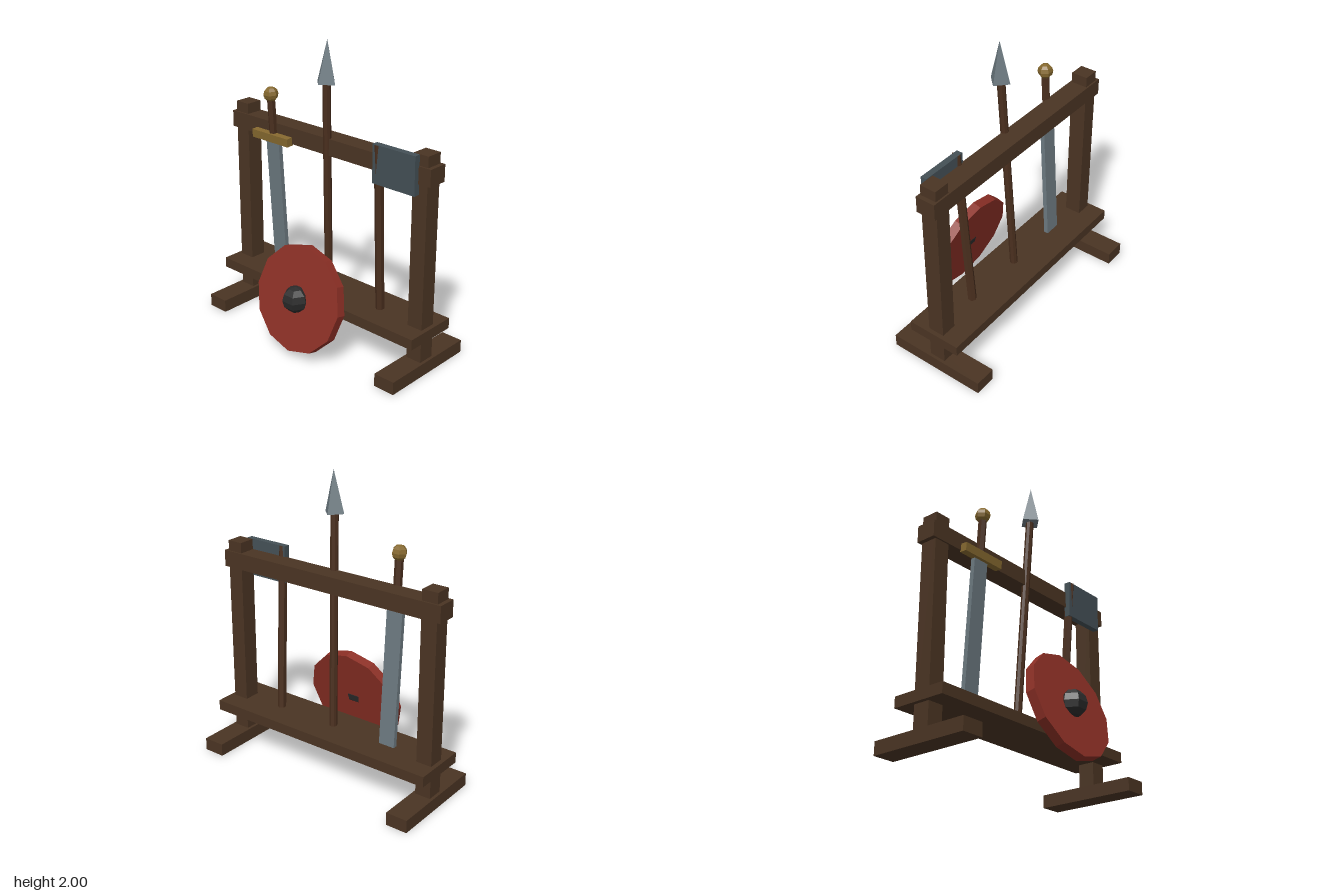
import * as THREE from 'three';

const material = (name, color) => {
  const m = new THREE.MeshStandardMaterial({ color, flatShading: true });
  m.name = name;
  return m;
};

export function createModel() {
  const timber = material('timber', 0x4a3423);
  const shaftWood = material('shaft wood', 0x4a2f1e);
  const steel = material('steel', 0x6c7980);
  const darkSteel = material('dark steel', 0x445056);
  const brass = material('brass', 0x86692f);
  const red = material('red paint', 0x8b2f25);
  const iron = material('black iron', 0x2b2b2b);

  const model = new THREE.Group();
  model.name = 'weaponRack';

  const add = (parent, name, geometry, mat, x, y, z) => {
    const mesh = new THREE.Mesh(geometry, mat);
    mesh.name = name;
    mesh.position.set(x, y, z);
    parent.add(mesh);
    return mesh;
  };
  const box = (parent, name, mat, w, h, d, x, y, z) =>
    add(parent, name, new THREE.BoxGeometry(w, h, d), mat, x, y, z);
  const group = (name, x, y, z) => {
    const g = new THREE.Group();
    g.name = name;
    g.position.set(x, y, z);
    model.add(g);
    return g;
  };
  // Round pole between two points
  const pole = (parent, name, mat, radius, sides, from, to) => {
    const a = new THREE.Vector3(...from), b = new THREE.Vector3(...to);
    const dir = b.clone().sub(a);
    const mid = a.clone().add(b).multiplyScalar(0.5);
    const mesh = add(parent, name, new THREE.CylinderGeometry(radius, radius, dir.length(), sides), mat, mid.x, mid.y, mid.z);
    mesh.quaternion.setFromUnitVectors(new THREE.Vector3(0, 1, 0), dir.normalize());
    return mesh;
  };

  // Rack frame
  const rackZ = -0.061, shelfTop = 0.313;
  const frame = group('rackFrame', 0, 0, rackZ);
  for (const [side, s] of [['left', 1], ['right', -1]]) {
    box(frame, side + 'Foot', timber, 0.148, 0.086, 0.684, s * 0.753, 0.043, 0);
    box(frame, side + 'Post', timber, 0.108, 1.42, 0.113, s * 0.753, 0.73, 0);
  }
  box(frame, 'shelf', timber, 1.67, 0.07, 0.373, 0, 0.278, 0);
  box(frame, 'topRail', timber, 1.67, 0.11, 0.135, 0, 1.315, 0);

  // Sword, point down and leaning on the rail
  const sword = group('sword', -0.44, shelfTop, -0.052);
  sword.rotation.x = 0.065;
  box(sword, 'blade', steel, 0.113, 0.95, 0.03, 0, 0.47, 0);
  box(sword, 'guard', brass, 0.322, 0.055, 0.05, 0, 0.966, 0.014);
  add(sword, 'grip', new THREE.CylinderGeometry(0.027, 0.027, 0.24, 6), shaftWood, 0, 1.11, 0.002);
  add(sword, 'pommel', new THREE.SphereGeometry(0.05, 6, 6), brass, 0, 1.256, 0);

  // Spear
  const spear = group('spear', 0, 0, 0);
  pole(spear, 'spearShaft', shaftWood, 0.026, 8, [-0.008, shelfTop - 0.01, -0.053], [0.035, 1.74, 0.018]);
  const head = add(spear, 'spearHead', new THREE.ConeGeometry(0.073, 0.27, 4), steel, 0.039, 1.865, 0.02);
  head.rotation.z = -0.03;

  // Axe, head up with the handle showing through it
  const axe = group('axe', 0, 0, 0);
  pole(axe, 'axeHandle', shaftWood, 0.029, 6, [0.436, shelfTop - 0.01, -0.052], [0.458, 1.438, 0.022]);
  const axeHead = box(axe, 'axeHead', darkSteel, 0.32, 0.25, 0.042, 0.587, 1.315, 0.019);
  axeHead.rotation.x = 0.015;

  // Round shield propped in front, tilted back
  const shield = group('shield', 0.06, 0.378, 0.288);
  shield.rotation.x = -0.246;
  const disc = add(shield, 'shieldDisc', new THREE.CylinderGeometry(0.35, 0.35, 0.063, 12), red, 0, 0, 0);
  disc.rotation.x = Math.PI / 2;
  const boss = add(shield, 'shieldBoss', new THREE.SphereGeometry(0.088, 6, 6), iron, 0, 0, 0.041);
  boss.rotation.x = 0.246;

  return model;
}
